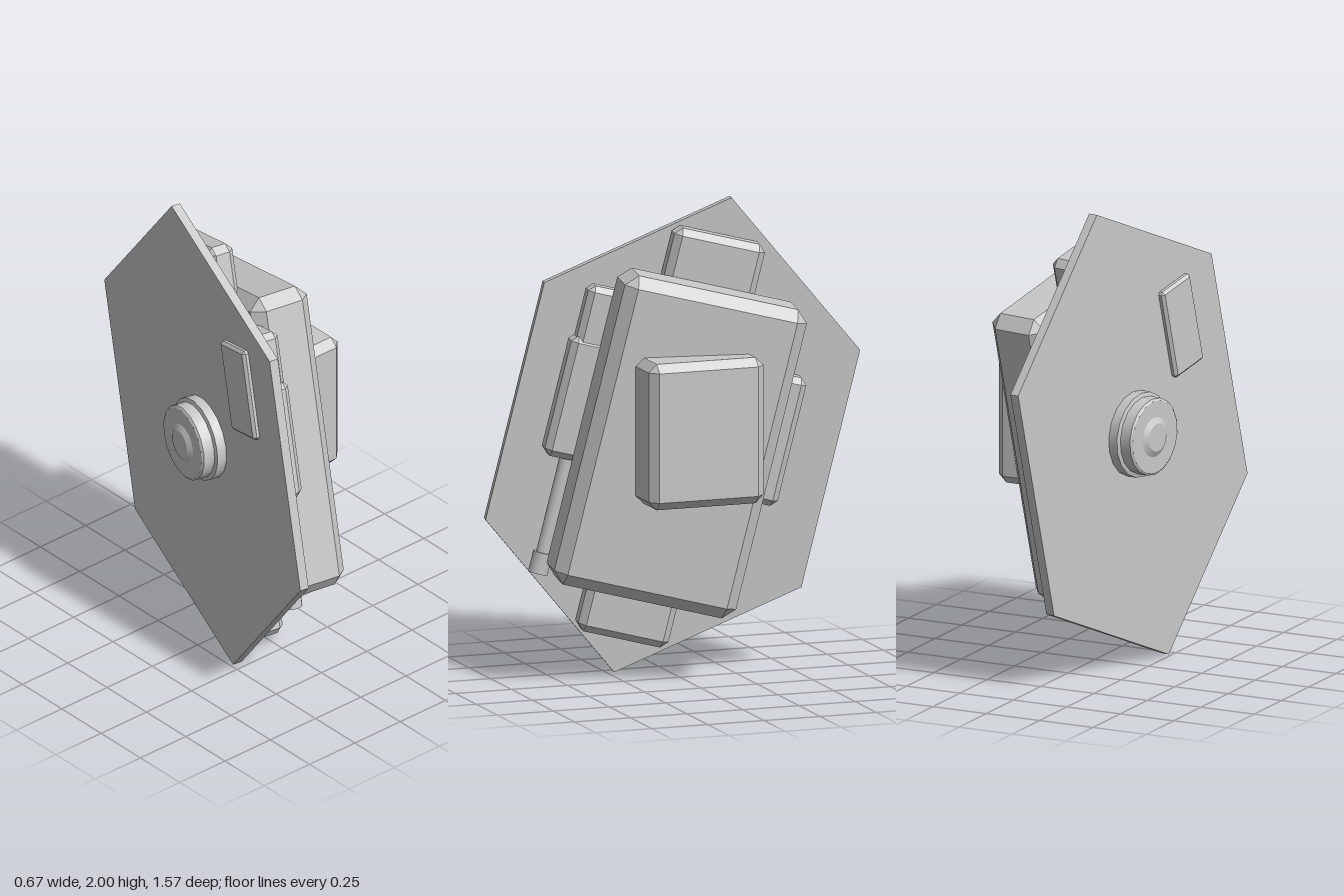
import * as THREE from 'three';
import { toCreasedNormals } from 'three/addons/utils/BufferGeometryUtils.js';
import { ConvexGeometry } from 'three/addons/geometries/ConvexGeometry.js';

const grey = new THREE.MeshStandardMaterial({ color: 0xc8c8c8 });
grey.name = 'light grey';

// Box with chamfered edges, given by its ranges along x, y and z
function chamferBox(name, [x0, x1], [y0, y1], [z0, z1], c) {
  const half = [(x1 - x0) / 2, (y1 - y0) / 2, (z1 - z0) / 2];
  const points = [];
  for (const sx of [-1, 1]) for (const sy of [-1, 1]) for (const sz of [-1, 1]) {
    for (let axis = 0; axis < 3; axis++) {
      const [x, y, z] = half.map((h, i) => (i === axis ? h : h - c));
      points.push(new THREE.Vector3(sx * x, sy * y, sz * z));
    }
  }
  const mesh = new THREE.Mesh(new ConvexGeometry(points), grey);
  mesh.name = name;
  mesh.position.set((x0 + x1) / 2, (y0 + y1) / 2, (z0 + z1) / 2);
  return mesh;
}

function roundPart(name, geometry) {
  const mesh = new THREE.Mesh(toCreasedNormals(geometry, 0.5), grey);
  mesh.name = name;
  return mesh;
}

export function createModel() {
  const model = new THREE.Group();
  model.name = 'panelDevice';

  // Tilted assembly: x is the plate normal, y runs along the plate, z across it
  const assembly = new THREE.Group();
  assembly.name = 'tiltedAssembly';
  assembly.position.y = 1;
  assembly.rotation.set(-14 * Math.PI / 180, -10 * Math.PI / 180, 0, 'YXZ');
  model.add(assembly);

  // Stretched hexagonal backing plate
  const hex = new THREE.CylinderGeometry(1, 1, 0.04, 6);
  hex.rotateZ(Math.PI / 2).rotateX(Math.PI / 2).scale(1, 1.03, 0.797);
  const plate = roundPart('hexPlate', hex);
  plate.position.x = -0.177;
  assembly.add(plate);

  // Main housing, the bar behind it and the blocks beside it
  assembly.add(
    chamferBox('mainBody', [-0.09, 0.185], [-0.67, 0.67], [-0.375, 0.42], 0.05),
    chamferBox('mountingBar', [-0.165, -0.04], [-0.875, 0.875], [-0.175, 0.22], 0.03),
    chamferBox('rearSideBlock', [-0.165, -0.05], [-0.195, 0.36], [-0.485, -0.24], 0.027),
    chamferBox('frontSideBlock', [-0.155, -0.035], [-0.18, 0.34], [0.3, 0.54], 0.027),
    chamferBox('frontUpperBlock', [-0.15, -0.042], [0.1, 0.56], [0.27, 0.52], 0.025),
    chamferBox('backPlaque', [-0.222, -0.17], [0.115, 0.515], [0.31, 0.51], 0.012),
  );

  // Rod with an end knob
  const rod = roundPart('rod', new THREE.CylinderGeometry(0.03, 0.03, 0.46, 16));
  rod.position.set(-0.105, -0.39, 0.43);
  const knob = roundPart('rodKnob', new THREE.CylinderGeometry(0.042, 0.042, 0.09, 16));
  knob.position.set(-0.108, -0.635, 0.43);
  assembly.add(rod, knob);

  // Stepped round hub on the back of the plate
  const profile = [[0, 0], [0.182, 0], [0.182, 0.06], [0.165, 0.065], [0.165, 0.115],
    [0.155, 0.122], [0.085, 0.122], [0.06, 0.136], [0, 0.136]];
  const hub = roundPart('backHub', new THREE.LatheGeometry(
    profile.map(([r, h]) => new THREE.Vector2(r, h)), 18));
  hub.rotation.z = Math.PI / 2;
  hub.position.set(-0.18, 0, 0.015);
  assembly.add(hub);

  // Upright cover on the outer face of the housing
  model.add(chamferBox('outerCover', [0.08, 0.335], [0.78, 1.4], [-0.26, 0.25], 0.035));
  return model;
}
